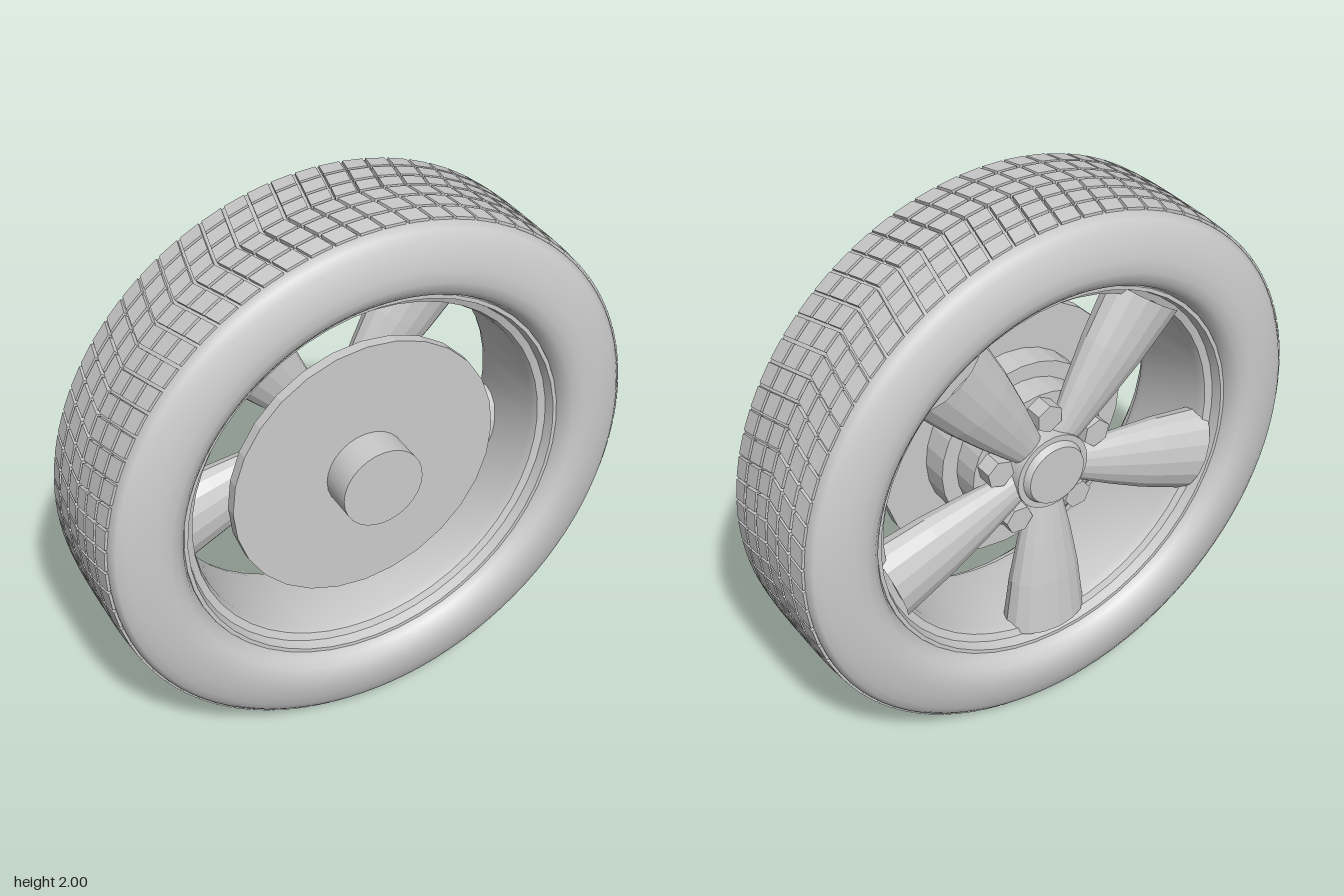
import * as THREE from 'three';
import { mergeGeometries, toCreasedNormals } from 'three/addons/utils/BufferGeometryUtils.js';

const smooth = new THREE.MeshStandardMaterial({ color: 0xcccccc });
const flat = new THREE.MeshStandardMaterial({ color: 0xcccccc, flatShading: true });

// Revolve [radius, z] points around the z axis
function revolve(points, segments) {
  const pts = points.map(([r, z]) => new THREE.Vector2(r, z));
  return new THREE.LatheGeometry(pts, segments).rotateX(Math.PI / 2);
}

// Cylinder along z between two depths; r0 at z0, r1 at z1
function disc(r0, r1, z0, z1, sides) {
  return new THREE.CylinderGeometry(r1, r0, z1 - z0, sides)
    .rotateX(Math.PI / 2).translate(0, 0, (z0 + z1) / 2);
}

// Half a profile, completed by mirroring in z
function mirrored(half) {
  return [...half, ...half.slice().reverse().map(([r, z]) => [r, -z])];
}

// One tread block bent around the tyre, skewed into a chevron
function treadBlock(angle, span, z0, z1) {
  const geo = new THREE.BoxGeometry(1, 1, 1);
  const p = geo.attributes.position;
  for (let i = 0; i < p.count; i++) {
    const z = p.getZ(i) > 0 ? z1 : z0;
    const a = angle - p.getX(i) * span - 0.055 * Math.abs(z) / 0.22;
    const r = p.getY(i) > 0 ? 1 - 0.008 * (z / 0.22) ** 4 : 0.95;
    p.setXYZ(i, Math.cos(a) * r, Math.sin(a) * r, z);
  }
  geo.computeVertexNormals();
  return geo;
}

export function createModel() {
  const model = new THREE.Group();
  const wheel = new THREE.Group();
  wheel.name = 'wheel';
  wheel.position.y = 1;
  model.add(wheel);

  function add(name, geometry, material = smooth, parent = wheel) {
    const mesh = new THREE.Mesh(geometry, material);
    mesh.name = name;
    parent.add(mesh);
    return mesh;
  }

  // Tyre body with rounded sidewalls
  const sidewall = [
    [0.715, -0.18], [0.72, -0.215], [0.735, -0.25], [0.76, -0.273], [0.795, -0.285],
    [0.84, -0.284], [0.89, -0.274], [0.935, -0.258], [0.965, -0.241], [0.983, -0.222],
    [0.985, -0.12],
  ];
  add('tyre', revolve(mirrored(sidewall), 96));

  // Tread: six columns of chevron blocks
  const columns = [-0.222, -0.146, -0.07, 0, 0.07, 0.146, 0.222];
  const rows = 72;
  const gap = 0.006;
  const blocks = [];
  for (let i = 0; i < rows; i++) {
    for (let c = 0; c < columns.length - 1; c++) {
      blocks.push(treadBlock(i / rows * Math.PI * 2, Math.PI * 2 / rows - 2 * gap,
        columns[c] + gap, columns[c + 1] - gap));
    }
  }
  add('tread', mergeGeometries(blocks));

  // Rim: flared lips and an inner barrel
  const lip = [[0.725, 0.2], [0.722, 0.225], [0.708, 0.225], [0.698, 0.19], [0.672, 0.18], [0.662, 0.15]];
  add('rim', toCreasedNormals(revolve(mirrored(lip), 48), 0.35));

  // Brake disc, carrier and axle on the inner side
  add('brakeDisc', disc(0.505, 0.505, 0.1, 0.14, 28), flat);
  add('discCarrier', disc(0.33, 0.33, 0, 0.11, 28), flat);
  add('axle', toCreasedNormals(disc(0.152, 0.152, 0.13, 0.26, 28), 0.5));

  // Hub and stepped centre cap on the outer side
  add('hub', disc(0.27, 0.27, -0.1, 0.01, 28), flat);
  add('centreCap', toCreasedNormals(disc(0.145, 0.145, -0.185, -0.08, 28), 0.5));
  add('capFace', toCreasedNormals(disc(0.112, 0.125, -0.21, -0.18, 28).scale(1, 1, 1), 0.5));

  // Five flared spokes, with a hex bolt between each pair
  const spokeProfile = [[0.05, 0.08], [0.07, 0.15], [0.105, 0.3], [0.138, 0.47], [0.165, 0.68]]
    .map(([r, y]) => new THREE.Vector2(r, y));
  const spokeGeometry = new THREE.LatheGeometry(spokeProfile, 16).scale(1, 1, 0.62).translate(0, 0, -0.135);
  const boltGeometry = disc(0.054, 0.054, -0.165, -0.08, 6).translate(0, 0.21, 0);
  for (let i = 0; i < 5; i++) {
    const turn = i / 5 * Math.PI * 2;
    add('spoke', spokeGeometry, flat).rotation.z = Math.PI + turn;
    add('bolt', boltGeometry, flat).rotation.z = turn;
  }
  return model;
}
